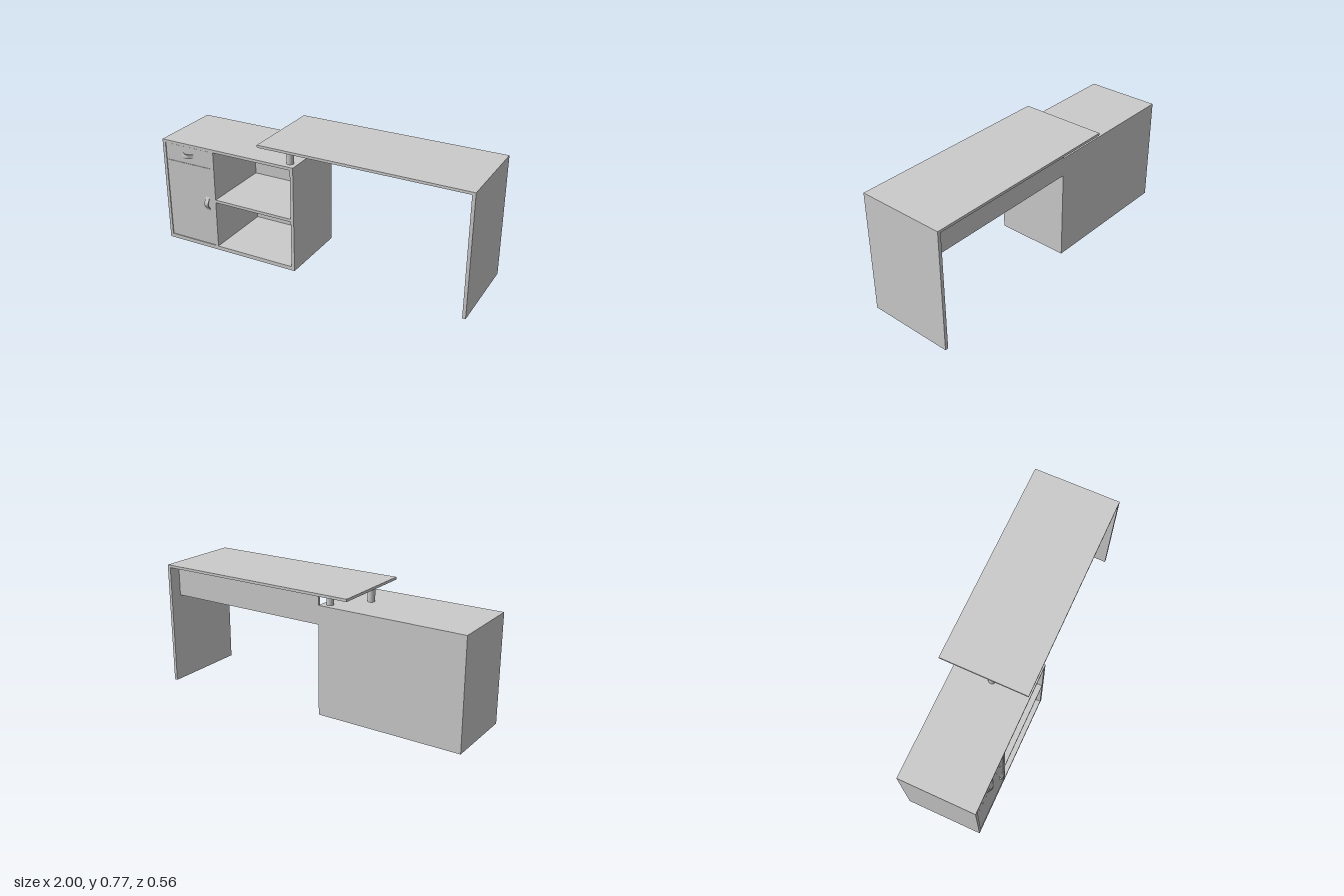
import * as THREE from 'three';

const material = new THREE.MeshStandardMaterial({ color: 0xcccccc });

export function createModel() {
  const model = new THREE.Group();
  model.name = 'deskWithCabinet';

  const add = (parent, name, geometry) => {
    const mesh = new THREE.Mesh(geometry, material);
    mesh.name = name;
    parent.add(mesh);
    return mesh;
  };
  // Box given by its limits on each axis
  const board = (parent, name, [x0, x1], [y0, y1], [z0, z1]) => {
    const mesh = add(parent, name, new THREE.BoxGeometry(x1 - x0, y1 - y0, z1 - z0));
    mesh.position.set((x0 + x1) / 2, (y0 + y1) / 2, (z0 + z1) / 2);
    return mesh;
  };

  const front = 0.264, back = -0.205, deskBack = -0.28;
  const left = -0.08, right = -1, cabinetTop = 0.675;

  // Cabinet carcass
  const cabinet = new THREE.Group();
  cabinet.name = 'cabinet';
  model.add(cabinet);
  const depth = [back, front], innerDepth = [back + 0.015, front];
  const innerX = [right + 0.02, left - 0.02], innerY = [0.025, 0.657];
  board(cabinet, 'cabinetBottom', [right, left], [0, innerY[0]], depth);
  board(cabinet, 'cabinetTop', [right, left], [innerY[1], cabinetTop], depth);
  board(cabinet, 'cabinetRightSide', [right, innerX[0]], innerY, depth);
  board(cabinet, 'cabinetLeftSide', [innerX[1], left], innerY, depth);
  board(cabinet, 'cabinetBack', innerX, innerY, [back, back + 0.015]);
  board(cabinet, 'divider', [-0.648, -0.63], innerY, innerDepth);
  board(cabinet, 'shelf', [-0.63, innerX[1]], [0.327, 0.345], innerDepth);

  // Door and drawer, set just inside the frame
  const face = front - 0.003;
  const faceX = [innerX[0] + 0.002, -0.65];
  board(cabinet, 'door', faceX, [0.027, 0.545], [face - 0.018, face]);
  board(cabinet, 'drawerFront', faceX, [0.547, 0.655], [face - 0.018, face]);

  // Bowed strip handle: one curve offset to make inner and outer edges
  const half = 0.048, bow = 0.02, thick = 0.004, width = 0.027, steps = 20;
  const profile = new THREE.Shape();
  for (let i = 0; i <= steps; i++) {
    const t = i / steps * 2 - 1;
    const h = bow * (0.5 + 0.5 * Math.cos(Math.PI * t));
    profile[i ? 'lineTo' : 'moveTo'](t * half, h);
  }
  for (let i = steps; i >= 0; i--) {
    const t = i / steps * 2 - 1;
    const h = bow * (0.5 + 0.5 * Math.cos(Math.PI * t));
    profile.lineTo(t * (half - thick), h - thick);
  }
  const handleGeometry = new THREE.ExtrudeGeometry(profile, { depth: width, bevelEnabled: false });
  handleGeometry.translate(0, 0, -width / 2);
  handleGeometry.rotateX(Math.PI / 2);
  const drawerHandle = add(cabinet, 'drawerHandle', handleGeometry);
  drawerHandle.position.set(-0.818, 0.6, face);
  const doorHandle = add(cabinet, 'doorHandle', handleGeometry);
  doorHandle.position.set(-0.69, 0.308, face);
  doorHandle.rotation.z = Math.PI / 2;

  // Desktop, end panel and modesty panel
  const deskBottom = 0.754;
  board(model, 'desktop', [-0.316, 1], [deskBottom, 0.77], [deskBack, front]);
  board(model, 'endPanel', [0.98, 1], [0.004, deskBottom], [deskBack, front]);
  board(model, 'modestyPanel', [left, 0.98], [0.56, deskBottom], [back, back + 0.018]);

  // Three round posts carrying the desktop above the cabinet
  const postHeight = deskBottom - cabinetTop;
  const postGeometry = new THREE.CylinderGeometry(0.0225, 0.0225, postHeight, 32);
  for (const [x, z] of [[-0.286, 0.03], [-0.127, 0.21], [-0.127, -0.155]]) {
    add(model, 'post', postGeometry).position.set(x, cabinetTop + postHeight / 2, z);
  }
  return model;
}
